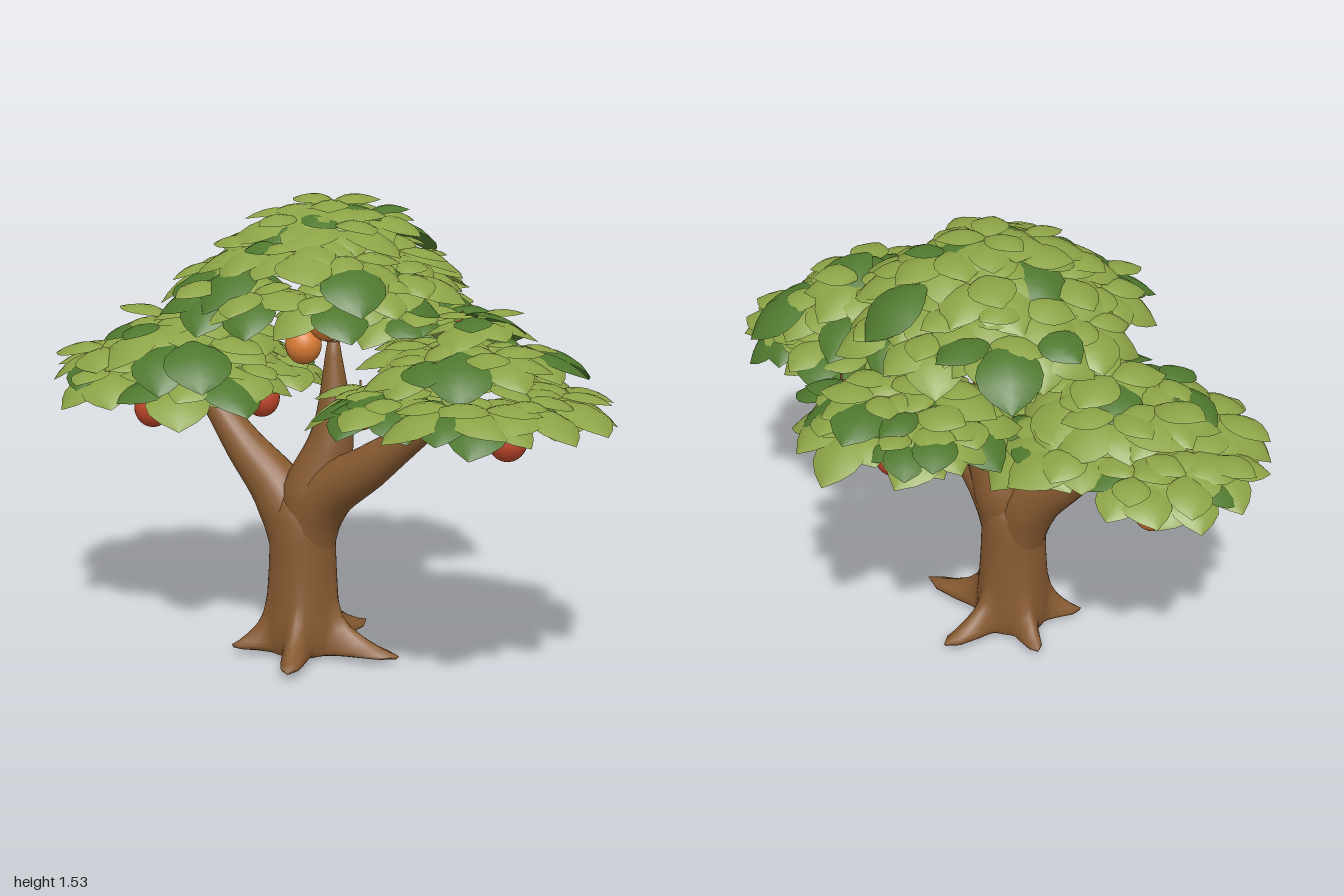
import * as THREE from 'three';
import { mergeGeometries } from 'three/addons/utils/BufferGeometryUtils.js';

const mat = (name, color, side = THREE.FrontSide) => {
  const m = new THREE.MeshStandardMaterial({ color, side });
  m.name = name;
  return m;
};
const V = (x, y, z) => new THREE.Vector3(x, y, z);
const UP = V(0, 1, 0);

// Small seeded random, 0..1
let seed = 11;
const rnd = () => {
  seed = (seed * 16807) % 2147483647;
  return seed / 2147483647;
};
const vary = (a) => (rnd() * 2 - 1) * a;
// Pushes a sine or cosine outward, for a squarer ring
const square = (c) => Math.sign(c) * Math.abs(c) ** 0.75;

// Closed skin through rings of points; point(i, angle) gives each vertex
function loft(rows, cols, point) {
  const pos = [], idx = [];
  for (let i = 0; i < rows; i++)
    for (let j = 0; j < cols; j++) pos.push(...point(i, (j / cols) * Math.PI * 2).toArray());
  for (let i = 0; i < rows - 1; i++)
    for (let j = 0; j < cols; j++) {
      const a = i * cols + j, b = i * cols + ((j + 1) % cols);
      idx.push(a, a + cols, b, b, a + cols, b + cols);
    }
  const g = new THREE.BufferGeometry();
  g.setAttribute('position', new THREE.Float32BufferAttribute(pos, 3));
  g.setIndex(idx);
  g.computeVertexNormals();
  return g;
}

// Trunk: rows of height, core radius and how far the roots spread
function trunkGeometry() {
  const rows = [
    [0.006, 0, 0], [0, 0.08, 0.02], [0.015, 0.115, 0.4], [0.025, 0.12, 0.96], [0.036, 0.12, 1],
    [0.05, 0.125, 0.75], [0.075, 0.125, 0.48], [0.105, 0.125, 0.24], [0.14, 0.122, 0.1], [0.2, 0.117, 0.02],
    [0.3, 0.112, 0], [0.4, 0.109, 0], [0.48, 0.107, 0], [0.54, 0.085, 0], [0.57, 0, 0],
  ];
  const roots = [[0, 0.235], [1.26, 0.19], [2.51, 0.12], [3.77, 0.12], [5.03, 0.185]];
  return loft(rows.length, 60, (i, a) => {
    const [y, core, spread] = rows[i];
    let lobe = 0;
    for (const [dir, len] of roots) {
      const d = Math.atan2(Math.sin(a - dir), Math.cos(a - dir));
      lobe += len * Math.exp(-((d / 0.22) ** 2));
    }
    const r = core + lobe * spread;
    return V(-0.1 + r * Math.cos(a), y, 0.12 + r * Math.sin(a));
  });
}

// Tapered branch along a smooth path of [x, y, z, radius]
function branchGeometry(path) {
  const curve = new THREE.CatmullRomCurve3(path.map((p) => V(p[0], p[1], p[2])));
  const steps = 20;
  return loft(steps + 2, 20, (i, a) => {
    const t = Math.min(i / steps, 1), f = t * (path.length - 1);
    const k = Math.min(Math.floor(f), path.length - 2);
    const r = i > steps ? 0 : THREE.MathUtils.lerp(path[k][3], path[k + 1][3], f - k);
    const T = curve.getTangent(t);
    const B = V(0, 0, 1).addScaledVector(T, -T.z).normalize();
    const N = T.clone().cross(B);
    return curve.getPoint(t).addScaledVector(N, r * Math.cos(a)).addScaledVector(B, r * Math.sin(a));
  });
}

// Broad cupped leaf of unit length along +x, its tip drooping
function leafGeometry() {
  const half = [0.06, 0.25, 0.37, 0.41, 0.37, 0.23, 0];
  const g = new THREE.PlaneGeometry(1, 1, 6, 4).rotateX(-Math.PI / 2);
  const p = g.attributes.position;
  for (let i = 0; i < p.count; i++) {
    const t = p.getX(i) + 0.5, v = p.getZ(i) * 2;
    const w = half[Math.round(t * 6)];
    p.setXYZ(i, t, 0.4 * t - 0.68 * t * t - 0.32 * w * v * v, w * v);
  }
  g.computeVertexNormals();
  return g;
}

// Dome of leaf rosettes filling a box, its top shifted by peak [x, z];
// accents are the middles of large dark leaves
function foliage(name, min, max, peak, rings, accents, mats) {
  const leaf = leafGeometry(), light = [], dark = [];
  const lo = V(...min), hi = V(...max);
  const c = lo.clone().add(hi).multiplyScalar(0.5), size = hi.clone().sub(lo);
  const rx = size.x / 2 - 0.18, rz = size.z / 2 - 0.18, h = size.y - 0.14;
  const put = (list, pos, n, yaw, pitch, s) => {
    const q = new THREE.Quaternion().setFromUnitVectors(UP, n)
      .multiply(new THREE.Quaternion().setFromEuler(new THREE.Euler(0, yaw, pitch, 'YZX')));
    list.push(leaf.clone().applyMatrix4(new THREE.Matrix4().compose(pos, q, V(s, s, s))));
  };
  rings.forEach(([f, count], ring) => {
    for (let k = 0; k < count; k++) {
      const a = (k / count) * Math.PI * 2 + ring * 0.7 + vary(0.12), g = f && f + vary(0.08);
      const x = g * rx * square(Math.cos(a)), z = g * rz * square(Math.sin(a));
      const pos = V(c.x + x + peak[0] * (1 - g), hi.y - 0.04 - h * Math.min(g, 1) ** 1.6 + vary(0.025), c.z + z + peak[1] * (1 - g));
      const n = V(x * 0.6 + vary(0.12), 1, z * 0.6 + vary(0.12)).normalize();
      const turn = rnd() * 6.28;
      // Lower whorl of six leaves, upper whorl of three
      for (let j = 0; j < 9; j++) {
        const upper = j > 5;
        const isDark = rnd() < (upper ? 0.08 : 0.17);
        const yaw = turn + (upper ? 0.5 + ((j - 6) * Math.PI * 2) / 3 : (j * Math.PI) / 3) + vary(0.2);
        const at = pos.clone().addScaledVector(n, upper ? 0.018 : 0);
        put(isDark ? dark : light, at, n, yaw, (upper ? 0.22 : -0.06) + vary(0.15), (upper ? 0.16 : 0.21) * (1 + vary(0.2)));
      }
    }
  });
  for (const [x, y, z] of accents) {
    const out = V(x - c.x, 0, z - c.z).normalize();
    const n = out.clone().multiplyScalar(0.35).add(UP).normalize();
    put(dark, V(x, y + 0.05, z).addScaledVector(out, -0.12), n, Math.atan2(-out.z, out.x), 0, 0.26);
  }
  // Fit both leaf colours to the box together
  const parts = [mergeGeometries(light), mergeGeometries(dark)];
  const box = new THREE.Box3();
  parts.forEach((g) => { g.computeBoundingBox(); box.union(g.boundingBox); });
  const bs = box.getSize(V(0, 0, 0));
  const group = new THREE.Group();
  group.name = name;
  parts.forEach((g, i) => {
    g.translate(-box.min.x, -box.min.y, -box.min.z);
    g.scale(size.x / bs.x, size.y / bs.y, size.z / bs.z).translate(...min);
    const m = new THREE.Mesh(g, mats[i]);
    m.name = i ? 'darkLeaves' : 'lightLeaves';
    group.add(m);
  });
  return group;
}

export function createModel() {
  const bark = mat('bark', 0x875a31);
  const lightLeaf = mat('lightLeaf', 0x8ca346, THREE.DoubleSide);
  const darkLeaf = mat('darkLeaf', 0x4f782e, THREE.DoubleSide);
  const red = mat('redFruit', 0xc2472c);
  const orange = mat('orangeFruit', 0xdb7c33);
  const model = new THREE.Group();
  model.name = 'fruitTree';
  const add = (name, geometry, material, parent = model) => {
    const m = new THREE.Mesh(geometry, material);
    m.name = name;
    parent.add(m);
    return m;
  };

  // Wood
  add('trunk', trunkGeometry(), bark);
  add('rightBranch', branchGeometry([[-0.1, 0.3, 0.12, 0.09], [-0.165, 0.51, 0.115, 0.098], [-0.335, 0.69, 0.1, 0.064], [-0.56, 0.94, 0.07, 0.022]]), bark);
  add('leftBranch', branchGeometry([[-0.1, 0.3, 0.12, 0.09], [-0.04, 0.52, 0.125, 0.1], [0.18, 0.69, 0.17, 0.07], [0.52, 0.95, 0.22, 0.022]]), bark);
  add('middleBranch', branchGeometry([[-0.1, 0.34, 0.12, 0.09], [-0.06, 0.55, 0.115, 0.107], [0, 0.75, 0.1, 0.072], [0, 1.06, 0.09, 0.02]]), bark);

  // Leaf canopies
  const leaves = [lightLeaf, darkLeaf];
  model.add(
    foliage('rightCanopy', [-1, 0.82, -0.33], [-0.1, 1.15, 0.53], [0.08, 0], [[0, 1], [0.5, 5], [1, 11]],
      [[-0.46, 0.98, 0.39], [-0.35, 1, 0.38]], leaves),
    foliage('leftCanopy', [0.06, 0.83, -0.22], [1, 1.22, 0.72], [-0.02, -0.14], [[0, 1], [0.5, 5], [1, 11]],
      [[0.6, 1.08, 0.42], [0.57, 1.2, 0.08], [0.75, 1.04, -0.06]], leaves),
    foliage('backCanopy', [-0.36, 0.98, -0.73], [0.41, 1.2, -0.08], [0, 0], [[0, 1], [0.5, 4], [1, 9]], [[0.25, 1.09, -0.53]], leaves),
    foliage('topCanopy', [-0.52, 1.15, -0.42], [0.47, 1.53, 0.62], [0.03, -0.02], [[0, 1], [0.38, 5], [0.7, 8], [1, 12]],
      [[0.26, 1.3, 0.42], [-0.16, 1.28, 0.48], [-0.32, 1.27, -0.27], [0.13, 1.37, -0.26], [-0.27, 1.34, 0.2]], leaves),
  );

  // Hanging fruit with short stalks
  const fruitShape = new THREE.SphereGeometry(0.06, 24, 16).scale(1, 1.08, 1);
  const stalkShape = new THREE.CylinderGeometry(0.004, 0.004, 0.04, 8);
  const fruit = [
    [0.74, 0.89, 0.41, red], [0.67, 0.905, 0.0, red], [0.19, 0.895, 0.28, orange], [0.14, 1.2, 0.41, orange],
    [-0.52, 0.845, 0.36, red], [-0.75, 0.85, -0.12, orange], [-0.26, 0.85, 0.1, red], [-0.3, 1.19, 0.24, red],
    [-0.13, 1.03, 0.05, orange], [-0.05, 1.01, -0.5, red], [0.27, 1.015, -0.33, red],
  ];
  for (const [x, y, z, colour] of fruit) {
    const g = new THREE.Group();
    g.name = 'fruit';
    g.position.set(x, y, z);
    add('fruitBody', fruitShape, colour, g);
    add('stalk', stalkShape, bark, g).position.y = 0.075;
    model.add(g);
  }
  return model;
}
